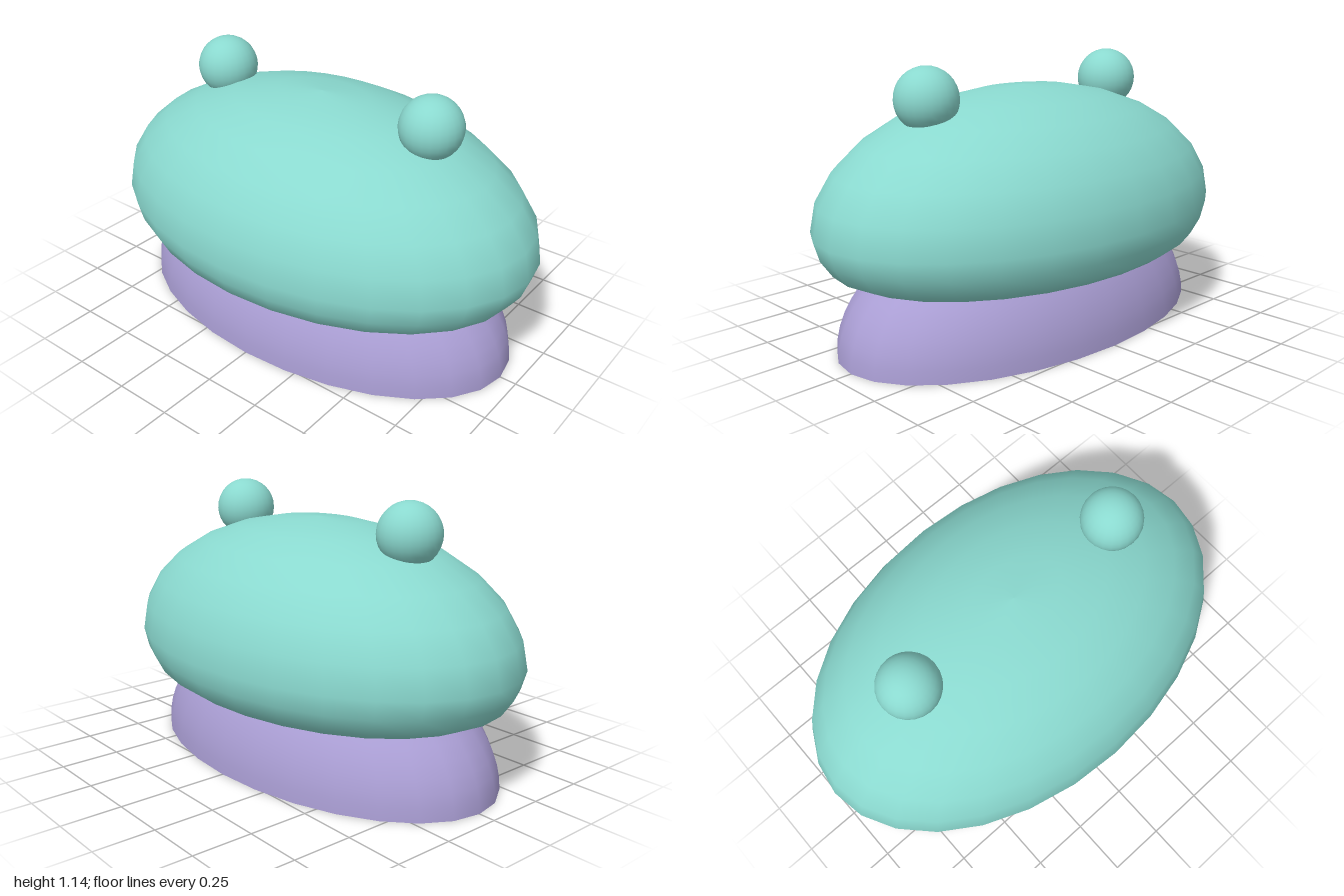
import * as THREE from 'three';

const SEGMENTS = 28;

export function createModel() {
  const teal = new THREE.MeshStandardMaterial({ color: 0x8ad9cf, side: THREE.DoubleSide });
  teal.name = 'teal';
  const lavender = new THREE.MeshStandardMaterial({ color: 0xaa9ed4, side: THREE.DoubleSide });
  lavender.name = 'lavender';

  const model = new THREE.Group();
  model.name = 'domedCreature';

  const add = (name, geometry, material) => {
    const mesh = new THREE.Mesh(geometry, material);
    mesh.name = name;
    model.add(mesh);
    return mesh;
  };

  // Oval lathe: a round profile squeezed along z
  const ovalLathe = (points, depth) => {
    const geometry = new THREE.LatheGeometry(points, SEGMENTS);
    geometry.scale(1, 1, depth);
    return geometry;
  };

  // Head: flat underside with a central opening, tucked rim, quarter-ellipse dome
  const headProfile = [
    [0.29, 0.285], [0.5, 0.284], [0.65, 0.286], [0.75, 0.295],
    [0.845, 0.312], [0.925, 0.35], [0.975, 0.42],
  ].map(([r, y]) => new THREE.Vector2(r, y));
  for (let i = 0; i <= 7; i++) {
    const a = (i / 7) * Math.PI / 2;
    headProfile.push(new THREE.Vector2(i === 7 ? 0 : Math.cos(a), 0.5 + 0.53 * Math.sin(a)));
  }
  add('head', ovalLathe(headProfile, 0.655), teal);

  // Base: open skirt curving inward up to the head
  const baseProfile = [];
  for (let i = 0; i <= 6; i++) {
    const y = 0.31 * i / 6;
    baseProfile.push(new THREE.Vector2(0.93 * Math.sqrt(1 - (y / 0.54) ** 2), y));
  }
  add('baseSkirt', ovalLathe(baseProfile, 0.57), lavender);

  // Eye bumps on top of the head
  for (const [name, side] of [['leftEye', 1], ['rightEye', -1]]) {
    const eye = add(name, new THREE.SphereGeometry(0.13, 24, 16), teal);
    eye.position.set(side * 0.53, 1.015, 0);
  }

  return model;
}
